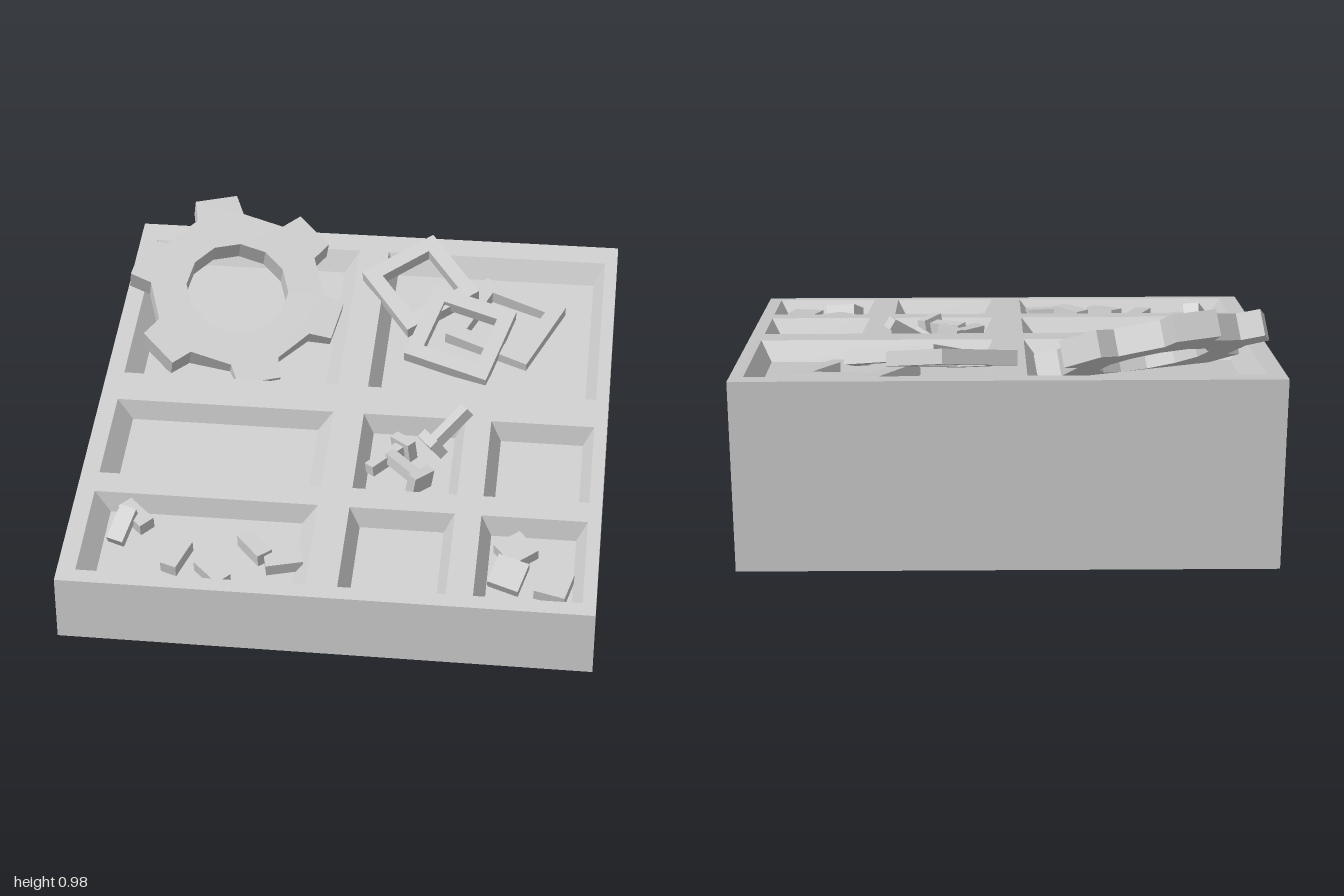
import * as THREE from 'three';

const D = 0.965, SLOPE = 0.27, TILT = Math.atan(SLOPE), DEPTH = 0.076;
const COS = Math.cos(TILT), SIN = Math.sin(TILT);
const height = z => 0.25 + SLOPE * (D - z);            // sloping top surface
const floorY = z => height(z) - DEPTH / COS;           // recess floors
const mat = new THREE.MeshStandardMaterial({ color: 0xcccccc, flatShading: true });
const V = (x, y, z) => new THREE.Vector3(x, y, z);

function mesh(name, geo) {
  const m = new THREE.Mesh(geo, mat);
  m.name = name;
  return m;
}

// geometry from a list of four-cornered faces
function quads(list) {
  const pos = [];
  for (const [a, b, c, d] of list)
    for (const p of [a, b, c, a, c, d]) pos.push(p.x, p.y, p.z);
  const g = new THREE.BufferGeometry();
  g.setAttribute('position', new THREE.Float32BufferAttribute(pos, 3));
  g.computeVertexNormals();
  return g;
}

// corners of a rectangle, anticlockwise from above
const ring = (x0, x1, z0, z1, y) =>
  [[x0, z1], [x1, z1], [x1, z0], [x0, z0]].map(([x, z]) => V(x, y(z), z));
const band = (a, b) => a.map((p, i) => [p, a[(i + 1) % 4], b[(i + 1) % 4], b[i]]);

// orient an object: local x along u, local z along n
function place(o, centre, u, n) {
  const z = n.clone().normalize();
  const x = u.clone().addScaledVector(z, -u.dot(z)).normalize();
  o.quaternion.setFromRotationMatrix(new THREE.Matrix4().makeBasis(x, z.clone().cross(x), z));
  o.position.copy(centre);
  return o;
}

// plate whose upper face lies on local z = 0
function plate(shape, t) {
  return new THREE.ExtrudeGeometry(shape, { depth: t, bevelEnabled: false }).translate(0, 0, -t);
}

function square(Type, s) {
  const h = s / 2;
  return new Type([[-h, -h], [h, -h], [h, h], [-h, h]].map(p => new THREE.Vector2(...p)));
}

// wedge body with tapered compartments
function createTray() {
  const tray = new THREE.Group();
  tray.name = 'tray';
  const base = ring(-1, 1, -D, D, () => 0), rim = ring(-1, 1, -D, D, height);
  tray.add(mesh('body', quads([...band(base, rim), [...base].reverse()])));

  const wide = [-0.93, -0.07, 0.06], rows = [[0.045, 0.43], [0.525, 0.91]];
  const cells = [[...wide, -0.87, -0.1, 0.057], [0.05, 0.95, 0.043, -0.87, -0.1, 0.057]];
  for (const [z0, z1] of rows)
    for (const c of [wide, [0.05, 0.45, 0.04], [0.55, 0.95, 0.04]]) cells.push([...c, z0, z1, 0.031]);

  const pts = (x0, x1, z0, z1) =>
    [[x0, -z1], [x1, -z1], [x1, -z0], [x0, -z0]].map(p => new THREE.Vector2(...p));
  const top = new THREE.Shape(pts(-1, 1, -D, D));
  for (const [x0, x1, ix, z0, z1, iz] of cells) {
    top.holes.push(new THREE.Path(pts(x0, x1, z0, z1).reverse()));
    const lip = ring(x0, x1, z0, z1, height);
    const shift = -DEPTH * SIN;
    const floor = ring(x0 + ix, x1 - ix, z0 + iz * COS + shift, z1 - iz * COS + shift, floorY);
    tray.add(mesh('compartment', quads([...band(lip, floor), floor])));
  }
  const g = new THREE.ShapeGeometry(top), p = g.attributes.position;
  for (let i = 0; i < p.count; i++) {
    const x = p.getX(i), z = -p.getY(i);
    p.setXYZ(i, x, height(z), z);
  }
  g.computeVertexNormals();
  tray.add(mesh('topSurface', g));
  return tray;
}

// six-toothed ring leaning in the back left compartment
function createGear() {
  const polar = (r, deg) => new THREE.Vector2(
    r * Math.cos(deg * Math.PI / 180), r * Math.sin(deg * Math.PI / 180));
  const outline = [], hole = [];
  for (let i = 0; i < 6; i++)
    for (const [r, a] of [[0.352, -16], [0.437, -11.5], [0.437, 11.5], [0.352, 16]])
      outline.push(polar(r, i * 60 + a));
  for (let i = 0; i < 12; i++) hole.push(polar(0.208, -i * 30 + 15));
  const s = new THREE.Shape(outline);
  s.holes.push(new THREE.Path(hole));
  return place(mesh('gear', plate(s, 0.1)), V(-0.53, 0.735, -0.495),
    V(-0.13, 0.233, -0.318), V(0.17, 0.83, 0.53));
}

// square washer
function createFrame(size, centre, u, n) {
  const s = square(THREE.Shape, size);
  s.holes.push(square(THREE.Path, size * 0.65));
  return place(mesh('squareFrame', plate(s, 0.055)), centre, u, n);
}

// square bolt: head at a, shank running to b
function createBolt(a, b) {
  const g = new THREE.Group(), len = a.distanceTo(b);
  g.name = 'bolt';
  g.add(mesh('shank', new THREE.BoxGeometry(len, 0.045, 0.045).translate(len / 2, 0, 0)));
  g.add(mesh('head', new THREE.BoxGeometry(0.04, 0.1, 0.08)));
  const u = b.clone().sub(a).normalize();
  const side = V(0, 1, 0).cross(u);
  return place(g, a, u, u.clone().cross(side));
}

// block lying on a compartment floor, with yaw and forward lean
function createBlock(name, [w, h, d], [x, z, yaw, lean, lift]) {
  const m = mesh(name, new THREE.BoxGeometry(w, h, d));
  m.rotation.set(TILT + lean, yaw, 0);
  m.position.set(x, floorY(z) + h / 2 + lift, z);
  return m;
}

export function createModel() {
  const model = new THREE.Group();
  model.name = 'partsTray';
  model.add(createTray(), createGear());

  // stacked square frames
  model.add(
    createFrame(0.345, V(0.205, 0.737, -0.636), V(0.284, 0.096, -0.197), V(0, 0.893, 0.449)),
    createFrame(0.35, V(0.39, 0.638, -0.406), V(0.335, -0.06, 0.08), V(0.04, 0.88, 0.477)),
    createFrame(0.365, V(0.564, 0.628, -0.545), V(0.342, -0.05, 0.133), V(0.03, 0.956, 0.29)));

  // loose bolts
  model.add(
    createBolt(V(0.33, 0.43, 0.13), V(0.455, 0.545, 0.045)),
    createBolt(V(0.22, 0.43, 0.165), V(0.1, 0.4, 0.3)),
    createBolt(V(0.3, 0.395, 0.345), V(0.17, 0.43, 0.235)));

  // oblong pegs: x, z, yaw, lean, lift
  for (const p of [[-0.76, 0.59, -0.75, 0, 0.01], [-0.8, 0.66, 1.3, 0.4, 0.03],
    [-0.575, 0.76, 1.25, 0, 0], [-0.43, 0.825, -0.75, 0, 0],
    [-0.285, 0.715, -0.85, -0.1, 0.02], [-0.17, 0.765, 0.25, 0, 0.01]])
    model.add(createBlock('peg', [0.14, 0.05, 0.065], p));

  // square nuts
  for (const p of [[0.69, 0.64, 0.7, 0, 0.01], [0.67, 0.77, -0.3, 0.3, 0.025], [0.84, 0.785, -0.25, 0, 0]])
    model.add(createBlock('nut', [0.12, 0.045, 0.12], p));

  return model;
}
